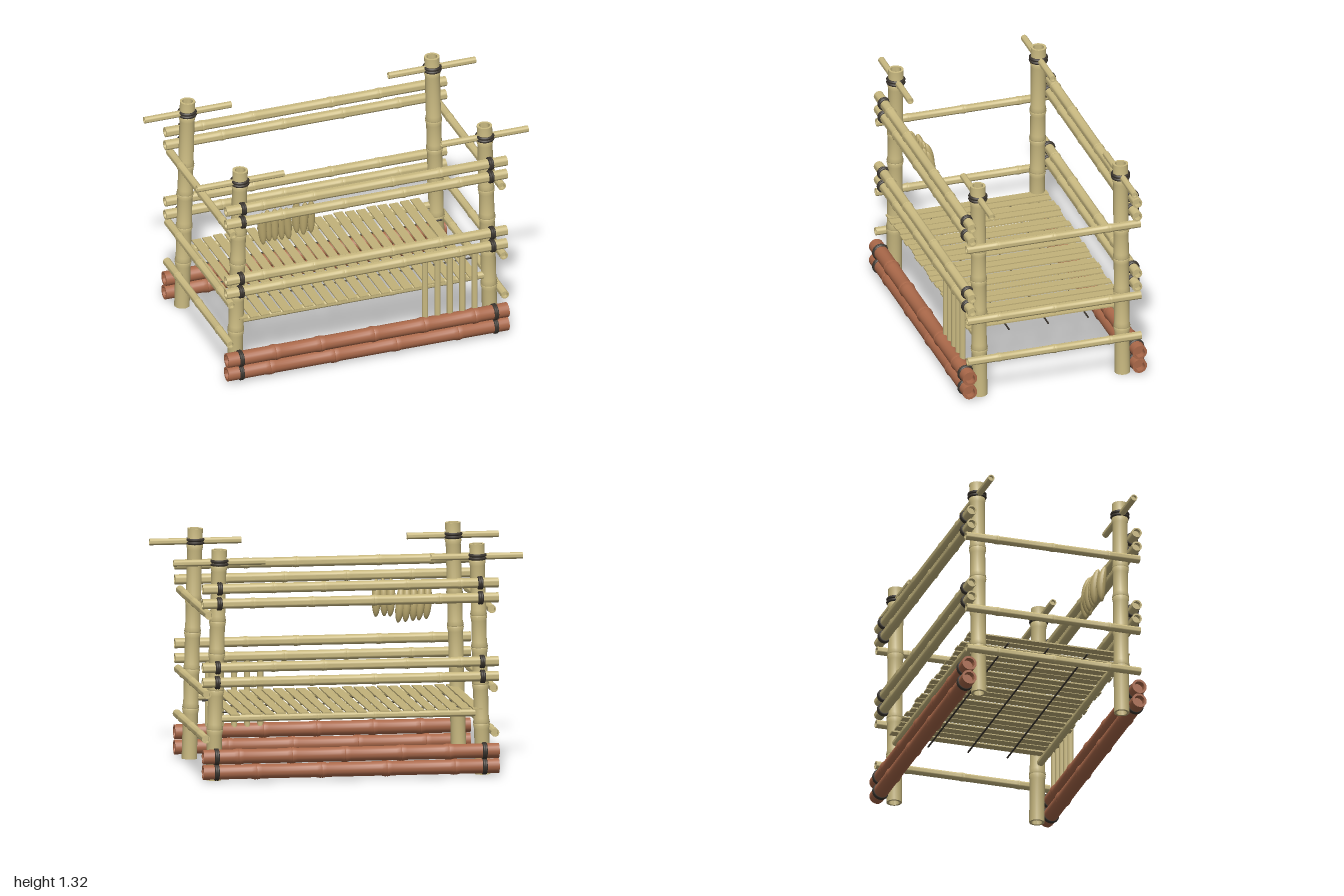
import * as THREE from 'three';
import { toCreasedNormals } from 'three/addons/utils/BufferGeometryUtils.js';

const material = (name, color) => Object.assign(new THREE.MeshStandardMaterial({ color }), { name });

export function createModel() {
  const model = new THREE.Group();
  model.name = 'bambooFrame';
  const bamboo = material('bamboo', 0xcbbb82);
  const slatTan = material('slat tan', 0xc2b27a);
  const fruitTan = material('fruit tan', 0xbcaa70);
  const redBamboo = material('red bamboo', 0xab694a);
  const cord = material('dark cord', 0x3b352e);

  const add = (name, geometry, mat) => {
    const mesh = new THREE.Mesh(geometry, mat);
    mesh.name = name;
    model.add(mesh);
    return mesh;
  };

  // Bamboo pole from a to b, with hollow ends and swollen joints at the given fractions
  const pole = (name, a, b, r, nodes, mat = bamboo) => {
    const from = new THREE.Vector3(...a), to = new THREE.Vector3(...b);
    const length = from.distanceTo(to), inner = r * 0.7, depth = r * 0.9;
    const p = [[0, depth], [inner, depth], [inner, 0], [r, 0]];
    for (const n of nodes) {
      const y = n * length;
      p.push([r * 0.98, y - r * 0.7], [r * 1.1, y - r * 0.14], [r * 1.04, y],
        [r * 1.1, y + r * 0.14], [r * 0.98, y + r * 0.7]);
    }
    p.push([r, length], [inner, length], [inner, length - depth], [0, length - depth]);
    const lathe = new THREE.LatheGeometry(p.map(([x, y]) => new THREE.Vector2(x, y)), 20);
    const mesh = add(name, toCreasedNormals(lathe, 0.8), mat);
    mesh.position.copy(from);
    mesh.quaternion.setFromUnitVectors(new THREE.Vector3(0, 1, 0), to.sub(from).normalize());
    return mesh;
  };

  // Cord ring around a pole running along x (or around an upright one)
  const ring = (name, x, y, z, r, upright = false) => {
    const mesh = add(name, new THREE.TorusGeometry(r, 0.009, 8, 24), cord);
    mesh.position.set(x, y, z);
    if (upright) mesh.rotation.x = Math.PI / 2;
    else mesh.rotation.y = Math.PI / 2;
    return mesh;
  };

  // Posts lean slightly inward
  const postX = (y) => 0.772 - 0.026 * y;

  for (const sz of [1, -1]) {
    for (const sx of [1, -1]) {
      pole('post', [sx * postX(0), 0.004, sz * 0.425], [sx * postX(1.32), 1.32, sz * 0.425], 0.044,
        [0.22, 0.39, 0.55, 0.69, 0.93]);
      // Short crossbar lashed near the post top
      pole('topCrossbar', [sx * 0.475, 1.247, sz * 0.425], [sx, 1.247, sz * 0.425], 0.019, []);
      for (const dy of [-0.009, 0.009])
        ring('topLashing', sx * postX(1.25), 1.247 + dy, sz * 0.425, 0.046, true);
    }

    // Long rails with cord rings at the posts
    [1.105, 1.02, 0.655, 0.57].forEach((y, i) => {
      pole('longRail', [-0.85, y, sz * 0.491], [0.845, y, sz * 0.491], 0.029,
        i % 2 ? [0.2, 0.42, 0.63, 0.83] : [0.13, 0.31, 0.59, 0.76]);
      for (const sx of [1, -1])
        for (const dx of [-0.006, 0.006])
          ring('railLashing', sx * (postX(y) + 0.003) + dx, y, sz * 0.491, 0.03);
    });

    // Paired heavy base poles
    [0.147, 0.06].forEach((y, i) => {
      pole('basePole', [-0.85, y, sz * 0.506], [0.845, y, sz * 0.506], 0.0425,
        i ? [0.15, 0.38, 0.6, 0.82] : [0.17, 0.33, 0.52, 0.7, 0.88], redBamboo);
      for (const sx of [1, -1])
        for (const dx of [-0.005, 0.005])
          ring('baseLashing', sx * 0.768 + dx, y, sz * 0.506, 0.0405);
    });

    // Rail carrying the bed slats
    pole('bedRail', [-0.74, 0.355, sz * 0.43], [0.74, 0.355, sz * 0.43], 0.021, [0.18, 0.4, 0.62, 0.84]);
  }

  // Side rails on the outside of the posts
  for (const sx of [1, -1])
    for (const y of [0.957, 0.505, 0.25]) {
      const x = sx * (postX(y) + 0.063);
      pole('sideRail', [x, y, 0.517], [x, y, -0.517], 0.0235, [0.18, 0.5, 0.82]);
    }

  // Bed slats
  for (let i = 0; i < 22; i++) {
    const slat = add('bedSlat', new THREE.BoxGeometry(0.053, 0.008, 0.955), slatTan);
    slat.position.set(-0.735 + i * 0.0662, 0.382 + 0.002 * Math.sin(i * 2.3), 0.006 * Math.sin(i * 1.7));
  }

  // Thin cords below the slats
  for (const z of [0.236, 0.002, -0.235]) {
    const tie = add('bedCord', new THREE.CylinderGeometry(0.005, 0.005, 1.46, 8), cord);
    tie.rotation.z = Math.PI / 2;
    tie.position.set(0, 0.362, z);
  }

  // Front pickets
  for (let i = 0; i < 5; i++) {
    const x = 0.355 + i * 0.075;
    pole('picket', [x, 0.15, 0.488], [x, 0.565, 0.488], 0.0175, []);
  }

  // Hanging bunch of curved fruit: x, y, z, tilt
  const fruits = [
    [-0.583, 0.885, 0.372, 0.06], [-0.54, 0.882, 0.345, 0.09], [-0.5, 0.88, 0.346, 0.03],
    [-0.459, 0.876, 0.34, 0.06], [-0.422, 0.872, 0.343, 0.1], [-0.37, 0.908, 0.35, 0.03],
    [-0.335, 0.906, 0.38, -0.03], [-0.29, 0.905, 0.37, 0.02],
  ];
  const fruitGeometry = new THREE.SphereGeometry(1, 14, 14);
  fruitGeometry.scale(0.026, 0.108, 0.026);
  const pos = fruitGeometry.attributes.position;
  for (let i = 0; i < pos.count; i++) {
    const t = pos.getY(i) / 0.108;
    pos.setZ(i, pos.getZ(i) + 0.012 * t * t - 0.006);
  }
  fruitGeometry.computeVertexNormals();
  for (const [x, y, z, tilt] of fruits) {
    const fruit = add('hangingFruit', fruitGeometry, fruitTan);
    fruit.position.set(x, y, z);
    fruit.rotation.set(0.07, 0, tilt);
  }
  return model;
}
